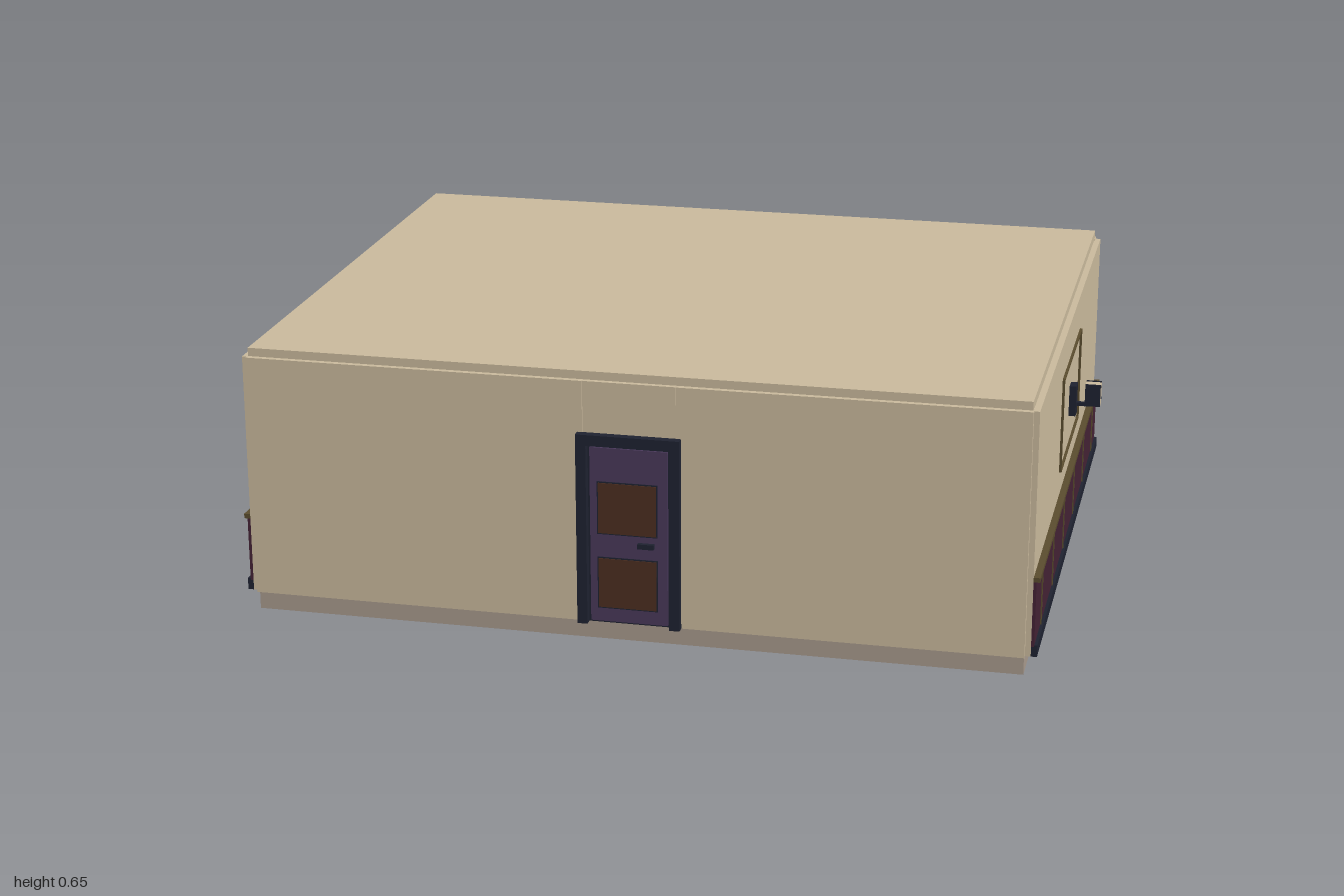
import * as THREE from 'three';

const mat = (name, color) => {
  const m = new THREE.MeshStandardMaterial({ color });
  m.name = name;
  return m;
};

export function createModel() {
  const plaster = mat('cream plaster', 0xc9b99c);
  const stone = mat('grey stone', 0xa7998c);
  const plum = mat('plum panelling', 0x432234);
  const navy = mat('dark navy', 0x1e2230);
  const brass = mat('dull brass', 0x5a4c2e);
  const violet = mat('violet paint', 0x49385a);
  const brown = mat('brown wood', 0x4c2e20);
  const rust = mat('warm wood', 0x6b4028);

  const model = new THREE.Group();
  model.name = 'room';

  // Box given by its minimum and maximum on each axis
  const box = (parent, name, m, x0, x1, y0, y1, z0, z1) => {
    const mesh = new THREE.Mesh(new THREE.BoxGeometry(Math.abs(x1 - x0), y1 - y0, z1 - z0), m);
    mesh.position.set((x0 + x1) / 2, (y0 + y1) / 2, (z0 + z1) / 2);
    mesh.name = name;
    parent.add(mesh);
    return mesh;
  };
  const group = (name) => {
    const g = new THREE.Group();
    g.name = name;
    model.add(g);
    return g;
  };

  const zMid = -0.01, zF = 0.72, zB = -0.74;

  // Floor slab and ceiling slab
  box(model, 'floorSlab', stone, -0.91, 0.91, 0, 0.046, zB, zF);
  box(model, 'roofSlab', plaster, -0.91, 0.91, 0.628, 0.65, zB, zF);

  // Front and back walls, each two piers and a lintel around a doorway
  for (const [name, z0, z1] of [['frontWall', 0.703, 0.733], ['backWall', -0.755, -0.723]]) {
    const wall = group(name);
    for (const s of [-1, 1]) box(wall, 'pier', plaster, s * 0.109, s * 0.912, 0.046, 0.63, z0, z1);
    box(wall, 'lintel', plaster, -0.108, 0.108, 0.505, 0.63, z0, z1 - (z1 > 0 ? 0.001 : 0));
  }

  // Side walls with dado panelling, picture moulding and a lamp, mirrored
  for (const s of [-1, 1]) {
    const side = group(s > 0 ? 'leftWall' : 'rightWall');
    const part = (name, m, a, b, y0, y1, z0, z1) => box(side, name, m, s * a, s * b, y0, y1, z0, z1);
    part('wallPanel', plaster, 0.893, 0.925, 0.046, 0.628, zB, zF);
    part('dadoPanel', plum, 0.925, 0.932, 0.07, 0.226, zB, zF);
    part('skirting', navy, 0.925, 0.939, 0.046, 0.074, zB, zF);
    part('dadoRail', brass, 0.925, 0.94, 0.226, 0.237, zB, zF);
    for (let i = 0; i < 6; i++) {
      const z = zF - (i + 0.5) * (zF - zB) / 6;
      part('dadoStrip', brass, 0.932, 0.935, 0.076, 0.208, z - 0.0025, z + 0.0025);
    }
    for (const y of [0.305, 0.535])
      part('mouldingRail', brass, 0.925, 0.931, y - 0.002, y + 0.002, zMid - 0.21, zMid + 0.21);
    for (const z of [-0.21, 0.21])
      part('mouldingStile', brass, 0.925, 0.931, 0.305, 0.535, zMid + z - 0.001, zMid + z + 0.001);

    // Wall lamp: back plate, arm and a shade between dark cheeks
    part('lampPlate', navy, 0.925, 0.942, 0.382, 0.458, zMid - 0.018, zMid + 0.018);
    part('lampArm', navy, 0.94, 0.975, 0.405, 0.414, zMid - 0.005, zMid + 0.005);
    part('lampShade', plaster, 0.963, 1, 0.41, 0.463, zMid - 0.014, zMid + 0.014);
    for (const c of [-1, 1])
      part('lampCheek', navy, 0.963, 1, 0.41, 0.465, zMid + c * 0.016 - 0.002, zMid + c * 0.016 + 0.002);
  }

  // Front door with frame, two panels and a handle
  const door = group('frontDoor');
  for (const s of [-1, 1]) box(door, 'doorJamb', navy, s * 0.097, s * 0.121, 0.046, 0.508, 0.7, 0.752);
  box(door, 'doorHead', navy, -0.097, 0.097, 0.482, 0.508, 0.7, 0.752);
  box(door, 'doorBacking', navy, -0.097, 0.097, 0.046, 0.482, 0.705, 0.732);
  box(door, 'doorLeaf', violet, -0.091, 0.091, 0.052, 0.476, 0.71, 0.74);
  for (const [y0, y1] of [[0.088, 0.208], [0.27, 0.392]]) {
    box(door, 'panelEdge', navy, -0.074, 0.068, y0 - 0.003, y1 + 0.003, 0.738, 0.742);
    box(door, 'doorPanel', brown, -0.071, 0.065, y0, y1, 0.738, 0.744);
  }
  box(door, 'doorHandle', navy, 0.022, 0.06, 0.24, 0.252, 0.738, 0.75);

  // Counter and shelving just inside the open back doorway
  const bar = group('counter');
  box(bar, 'counterFront', navy, -0.45, 0.45, 0.046, 0.25, -0.62, -0.5);
  box(bar, 'counterTrim', plaster, -0.45, 0.45, 0.25, 0.285, -0.62, -0.5);
  box(bar, 'counterTop', navy, -0.46, 0.46, 0.285, 0.33, -0.63, -0.48);
  for (const y of [0.38, 0.47, 0.56]) box(bar, 'shelf', rust, -0.45, 0.45, y, y + 0.025, -0.56, -0.48);

  // Wooden floor boards
  box(model, 'floorBoards', brown, -0.89, 0.89, 0.046, 0.049, -0.72, 0.7);

  return model;
}
